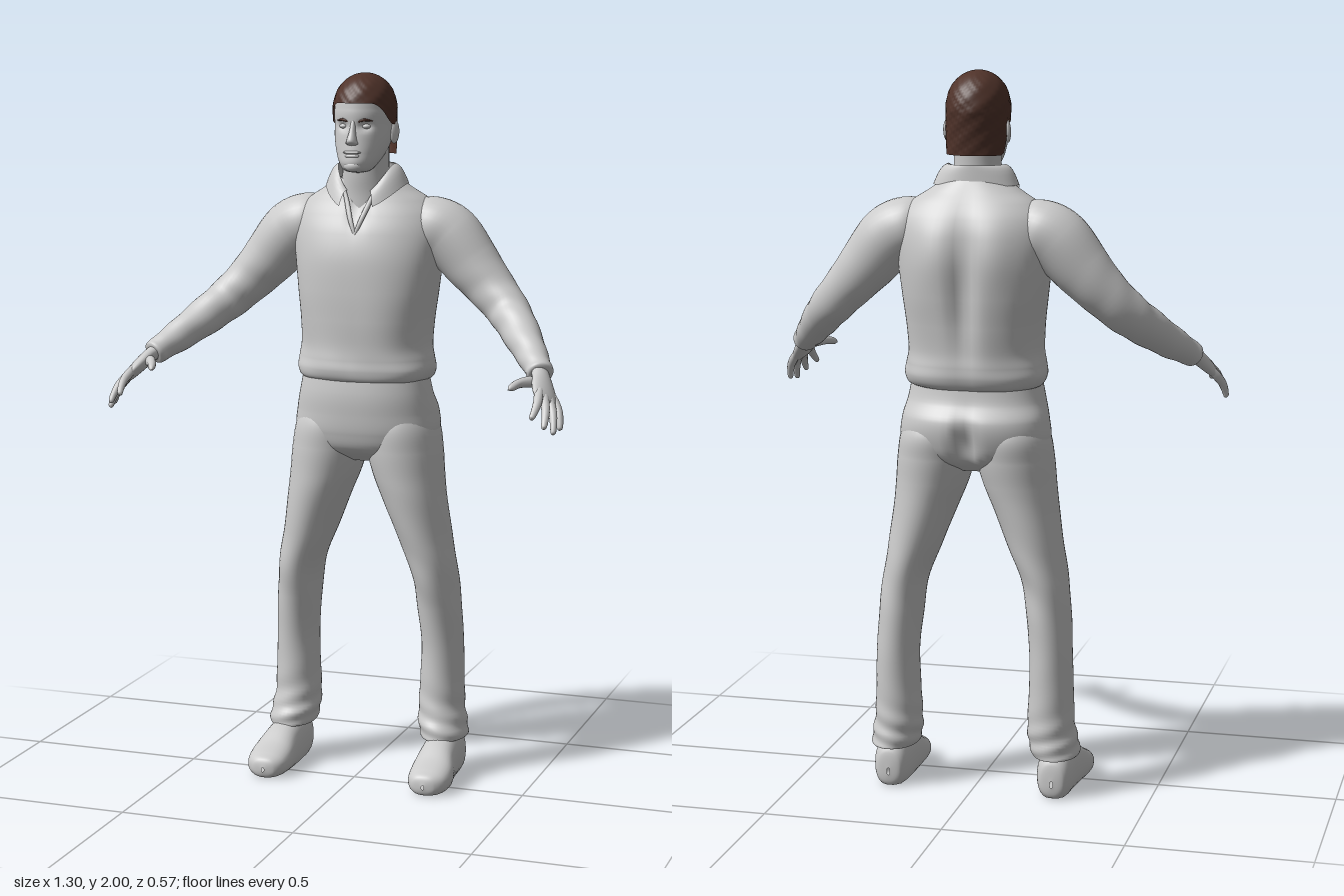
import * as THREE from 'three';
import { ParametricGeometry } from 'three/addons/geometries/ParametricGeometry.js';

const cloth = new THREE.MeshStandardMaterial({ color: 0xcbcbcb, side: THREE.DoubleSide });
cloth.name = 'plain grey';
const brown = new THREE.MeshStandardMaterial({ color: 0x50332a, side: THREE.DoubleSide });
brown.name = 'hair brown';

const V = (x, y, z) => new THREE.Vector3(x, y, z);
const bump = (t, centre, width) => Math.exp(-(((t - centre) / width) ** 2));

// Smooth interpolation between section rows [x, y, z, halfWidth, halfDepth]
function sample(rows, v) {
  const f = Math.min(Math.max(v, 0), 1) * (rows.length - 1);
  const i = Math.min(Math.floor(f), rows.length - 2), t = f - i;
  const p0 = rows[Math.max(i - 1, 0)], p1 = rows[i], p2 = rows[i + 1], p3 = rows[Math.min(i + 2, rows.length - 1)];
  return p1.map((b, k) => b + 0.5 * t * (p2[k] - p0[k] + t * (2 * p0[k] - 5 * b + 4 * p2[k] - p3[k]
    + t * (3 * (b - p2[k]) + p3[k] - p0[k]))));
}

// Skin over sections: axis 'y' or 'z' keeps them parallel, otherwise they follow the path
function loft(rows, { axis, up = V(0, 1, 0), square = 1, fold, shape, nu = 32 } = {}) {
  const A = V(1, 0, 0), B = axis === 'z' ? V(0, 1, 0) : V(0, 0, -1), T = V();
  const pw = c => Math.sign(c) * Math.abs(c) ** square;
  return new ParametricGeometry((u, v, out) => {
    const r = sample(rows, v), th = u * Math.PI * 2;
    if (!axis) {
      const a = sample(rows, v - 0.02), b = sample(rows, v + 0.02);
      T.set(b[0] - a[0], b[1] - a[1], b[2] - a[2]).normalize();
      A.crossVectors(up, T).normalize();
      B.crossVectors(T, A);
    }
    const m = fold ? fold(th, v) : 1;
    out.set(r[0], r[1], r[2])
      .addScaledVector(A, Math.max(r[3], 0.0005) * m * pw(Math.cos(th)))
      .addScaledVector(B, Math.max(r[4], 0.0005) * m * pw(Math.sin(th)));
    if (shape) shape(out);
  }, nu, (rows.length - 1) * 6);
}

export function createModel() {
  const model = new THREE.Group();
  const add = (name, geometry, material = cloth, parent = model) => {
    const mesh = new THREE.Mesh(geometry, material);
    mesh.name = name;
    parent.add(mesh);
    return mesh;
  };
  const blob = (name, x, y, z, sx, sy, sz, parent, material = cloth) => {
    const m = add(name, new THREE.SphereGeometry(1, 16, 12), material, parent);
    m.position.set(x, y, z);
    m.scale.set(sx, sy, sz);
    return m;
  };

  // Shirt body with spine groove, shoulder blades and soft folds over the hem
  add('shirt', loft([
    [0, 1.145, -0.112, 0.165, 0.115], [0, 1.155, -0.112, 0.188, 0.134], [0, 1.18, -0.114, 0.198, 0.143],
    [0, 1.21, -0.116, 0.193, 0.142], [0, 1.25, -0.117, 0.186, 0.141], [0, 1.32, -0.12, 0.19, 0.147],
    [0, 1.40, -0.125, 0.201, 0.152], [0, 1.49, -0.13, 0.212, 0.150], [0, 1.56, -0.134, 0.218, 0.136],
    [0, 1.61, -0.136, 0.208, 0.117], [0, 1.65, -0.134, 0.175, 0.096], [0, 1.68, -0.128, 0.13, 0.08],
    [0, 1.71, -0.12, 0.085, 0.068]], {
    axis: 'y', square: 0.88, nu: 72,
    fold: (th, v) => 1 + 0.012 * Math.sin(th * 7 + v * 9) * bump(v, 0.2, 0.2) + 0.006 * Math.sin(th * 4 - v * 16),
    shape: p => {
      if (p.z < -0.12) p.z += 0.025 * bump(p.x, 0, 0.035) * bump(p.y, 1.42, 0.17) - 0.008 * bump(Math.abs(p.x), 0.09, 0.05) * bump(p.y, 1.52, 0.1);
      else p.z -= 0.012 * bump(p.x, 0, 0.025) * bump(p.y, 1.63, 0.05);
    },
  }));

  // Turned-down collar, open at the front
  add('collar', new ParametricGeometry((u, v, out) => {
    const a = 0.42 + u * (Math.PI * 2 - 0.84), s = Math.sin(a), c = Math.cos(a), f = Math.max(0, c) ** 2;
    const top = V(0.08 * s, 1.75 - 0.085 * f, -0.108 + 0.078 * c);
    const low = V(0.118 * s, 1.695 - 0.07 * f, -0.115 + (0.095 + 0.022 * c) * c);
    out.lerpVectors(top, low, v);
    out.y += 0.012 * Math.sin(v * Math.PI);
  }, 48, 6));

  // Edges of the open neck
  for (const s of [-1, 1]) add('neckPlacket', loft([
    [0, 1.56, -0.002, 0.004, 0.004], [s * 0.016, 1.60, -0.012, 0.007, 0.005],
    [s * 0.034, 1.65, -0.035, 0.007, 0.005], [s * 0.05, 1.69, -0.05, 0.004, 0.004]], { up: V(0, 0, 1), nu: 10 }));

  // Trouser seat
  add('trouserSeat', loft([
    [0, 0.915, -0.12, 0.07, 0.06], [0, 0.95, -0.12, 0.175, 0.115], [0, 1.0, -0.122, 0.208, 0.137],
    [0, 1.06, -0.122, 0.204, 0.143], [0, 1.11, -0.107, 0.192, 0.129], [0, 1.17, -0.105, 0.18, 0.12]], {
    axis: 'y', square: 0.9, nu: 64,
    shape: p => { if (p.z < -0.12) p.z += 0.03 * bump(p.x, 0, 0.03) * bump(p.y, 0.99, 0.07); },
  }));

  // Neck and head
  add('neck', loft([[0, 1.58, -0.115, 0.085, 0.075], [0, 1.66, -0.11, 0.077, 0.07],
    [0, 1.72, -0.1, 0.066, 0.066], [0, 1.80, -0.1, 0.064, 0.07]], { axis: 'y' }));
  const head = new THREE.Group();
  head.name = 'head';
  model.add(head);
  add('face', loft([
    [0, 1.728, -0.035, 0.004, 0.006], [0, 1.735, -0.03, 0.034, 0.043], [0, 1.755, -0.04, 0.052, 0.066],
    [0, 1.785, -0.062, 0.067, 0.085], [0, 1.82, -0.08, 0.077, 0.098], [0, 1.86, -0.088, 0.08, 0.101],
    [0, 1.90, -0.09, 0.081, 0.103], [0, 1.95, -0.09, 0.07, 0.09], [0, 1.985, -0.09, 0.02, 0.03]], {
    axis: 'y', nu: 64,
    shape: p => { if (p.z > -0.04) p.z -= 0.011 * bump(Math.abs(p.x), 0.032, 0.016) * bump(p.y, 1.857, 0.012); },
  }), cloth, head);
  add('nose', loft([
    [0, 1.803, 0.006, 0.006, 0.006], [0, 1.81, 0.016, 0.017, 0.016], [0, 1.82, 0.02, 0.014, 0.02],
    [0, 1.845, 0.012, 0.009, 0.014], [0, 1.872, 0.004, 0.007, 0.01]], { axis: 'y', nu: 16 }), cloth, head);
  blob('upperLip', 0, 1.787, 0.019, 0.026, 0.005, 0.009, head);
  blob('lowerLip', 0, 1.777, 0.018, 0.022, 0.006, 0.009, head);
  blob('chin', 0, 1.749, 0.012, 0.025, 0.016, 0.016, head);
  for (const s of [-1, 1]) {
    blob('eye', s * 0.032, 1.857, -0.008, 0.013, 0.007, 0.011, head);
    const lobe = blob('ear', s * 0.083, 1.838, -0.1, 0.009, 0.032, 0.02, head);
    lobe.rotation.set(-0.2, s * -0.3, 0);
    add('eyebrow', loft([[s * 0.012, 1.869, 0.008, 0.002, 0.002], [s * 0.03, 1.875, 0.006, 0.003, 0.004],
      [s * 0.052, 1.872, -0.007, 0.001, 0.001]], { nu: 8 }), brown, head);
  }

  // Short hair: a cap whose lower edge dips behind the ears to the nape
  add('hair', new ParametricGeometry((u, v, out) => {
    const a = u * Math.PI * 2, s = Math.sin(a), c = Math.cos(a);
    const edge = 1.775 + 0.085 * THREE.MathUtils.smoothstep(c, -0.4, -0.05) + 0.06 * THREE.MathUtils.smoothstep(c, 0.1, 0.85);
    const y = 2 - (2 - edge) * (1 - Math.cos(v * Math.PI / 2)) ** 0.9;
    const r = y > 1.89 ? Math.sqrt(Math.max(0, 1 - ((y - 1.89) / 0.11) ** 2.3)) : 1 - (1.89 - y) * (c < 0 ? 1.9 * c * c : 0.3);
    const tuft = 1 + 0.012 * Math.sin(a * 13 + y * 60) * Math.sin(y * 190 + a * 5);
    out.set(0.087 * r * s * tuft, y, -0.092 + 0.112 * r * c * tuft);
  }, 72, 36), brown, head);

  for (const s of [-1, 1]) {
    const side = s > 0 ? 'left' : 'right';
    const flip = rows => rows.map(([x, ...rest]) => [s * x, ...rest]);
    const limb = (name, rows, options, parent) => add(name, loft(flip(rows), options), cloth, parent);

    // Trouser leg, gathered at the knee and ankle
    limb(side + 'TrouserLeg', [
      [0.225, 0.125, -0.13, 0.045, 0.06], [0.232, 0.115, -0.128, 0.064, 0.088], [0.226, 0.15, -0.13, 0.069, 0.086],
      [0.22, 0.20, -0.138, 0.066, 0.078], [0.22, 0.27, -0.14, 0.063, 0.076], [0.22, 0.387, -0.141, 0.059, 0.079],
      [0.212, 0.50, -0.133, 0.061, 0.088], [0.2, 0.60, -0.123, 0.063, 0.098], [0.172, 0.70, -0.119, 0.075, 0.105],
      [0.142, 0.81, -0.115, 0.09, 0.114], [0.124, 0.88, -0.116, 0.101, 0.119], [0.112, 0.95, -0.119, 0.107, 0.125],
      [0.106, 1.02, -0.122, 0.1, 0.125], [0.1, 1.09, -0.115, 0.07, 0.09]], {
      axis: 'y', nu: 40,
      fold: (th, v) => 1 + 0.03 * Math.sin(v * 75 + th * 2 * s) * bump(v, 0.17, 0.12) + 0.015 * Math.sin(v * 50 + th * 3) * bump(v, 0.53, 0.12),
    });

    // Shoe with a flat sole
    limb(side + 'Shoe', [
      [0.235, 0.045, -0.203, 0.004, 0.01], [0.235, 0.055, -0.195, 0.034, 0.05], [0.235, 0.06, -0.165, 0.049, 0.07],
      [0.235, 0.06, -0.1, 0.052, 0.075], [0.238, 0.052, -0.03, 0.056, 0.066], [0.242, 0.04, 0.03, 0.062, 0.047],
      [0.242, 0.033, 0.075, 0.055, 0.036], [0.24, 0.03, 0.1, 0.034, 0.026], [0.24, 0.028, 0.108, 0.004, 0.006]],
      { axis: 'z', square: 0.85, shape: p => { p.y = Math.max(p.y, 0.004 - 0.004 * bump(p.z, -0.05, 0.15)); } });

    // Sleeve
    limb(side + 'Sleeve', [
      [0.12, 1.585, -0.14, 0.05, 0.06], [0.175, 1.58, -0.14, 0.085, 0.082], [0.235, 1.548, -0.142, 0.084, 0.089],
      [0.30, 1.475, -0.138, 0.074, 0.079], [0.355, 1.415, -0.128, 0.065, 0.068], [0.41, 1.36, -0.103, 0.058, 0.061],
      [0.455, 1.317, -0.055, 0.054, 0.055], [0.51, 1.265, 0.02, 0.045, 0.046], [0.548, 1.231, 0.078, 0.037, 0.037],
      [0.562, 1.218, 0.1, 0.036, 0.034], [0.565, 1.215, 0.105, 0.02, 0.02]], {
      fold: (th, v) => 1 + 0.025 * Math.sin(v * 60 + th * 2 * s) * bump(v, 0.65, 0.25),
    });

    // Hand: flat palm, four fingers fanned out and a thumb
    const hand = new THREE.Group();
    hand.name = side + 'Hand';
    model.add(hand);
    const up = V(s * 0.72, 0.67, 0.15);
    limb('palm', [[0.555, 1.225, 0.09, 0.026, 0.02], [0.568, 1.212, 0.115, 0.028, 0.02], [0.582, 1.192, 0.148, 0.037, 0.019],
      [0.598, 1.168, 0.183, 0.041, 0.015], [0.606, 1.156, 0.2, 0.03, 0.008], [0.607, 1.154, 0.202, 0.002, 0.002]], { up, nu: 24 }, hand);
    const tips = [[0.588, 1.125, 0.283], [0.62, 1.10, 0.275], [0.637, 1.08, 0.24], [0.644, 1.085, 0.198]];
    tips.forEach((tip, i) => {
      const base = V(0.585 + i * 0.01, 1.177 - i * 0.008, 0.206 - i * 0.0155), end = V(...tip);
      const at = (t, lift, r) => [...base.clone().lerp(end, t).add(V(0.72, 0.67, 0.15).multiplyScalar(lift)).toArray(), r, r];
      limb('finger', [at(-0.2, 0, 0.01), at(0.1, 0.004, 0.0125), at(0.45, 0.008, 0.0115), at(0.75, 0.005, 0.0095),
        at(0.95, 0, 0.007), at(1, 0, 0.0005)], { up, nu: 12 }, hand);
    });
    limb('thumb', [[0.574, 1.2, 0.125, 0.012, 0.012], [0.552, 1.203, 0.155, 0.016, 0.014], [0.53, 1.203, 0.19, 0.0125, 0.012],
      [0.517, 1.196, 0.22, 0.01, 0.009], [0.511, 1.191, 0.236, 0.001, 0.001]], { up, nu: 12 }, hand);
  }
  return model;
}
